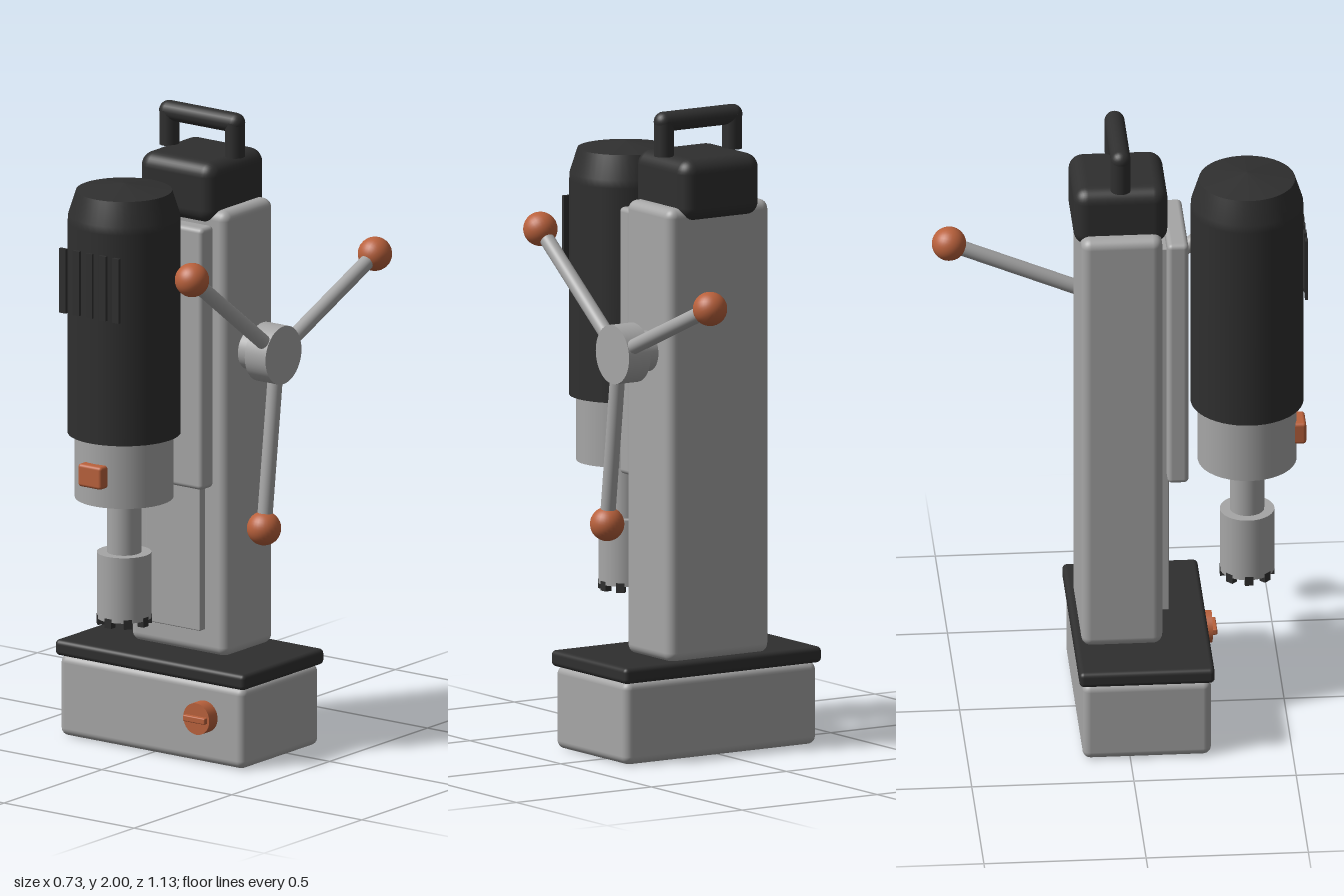
import * as THREE from 'three';
import { RoundedBoxGeometry } from 'three/addons/geometries/RoundedBoxGeometry.js';

const mat = (name, color) => {
  const m = new THREE.MeshStandardMaterial({ color });
  m.name = name;
  return m;
};

export function createModel() {
  const grey = mat('machine grey', 0xa6a6a6);
  const dark = mat('charcoal', 0x2f2f2f);
  const orange = mat('burnt orange', 0xb9613c);
  const model = new THREE.Group();
  model.name = 'magneticDrill';

  const add = (name, geometry, material, x, y, z, parent = model) => {
    const mesh = new THREE.Mesh(geometry, material);
    mesh.name = name;
    mesh.position.set(x, y, z);
    parent.add(mesh);
    return mesh;
  };
  // box given by its extents on each axis
  const box = (name, material, [x0, x1], [y0, y1], [z0, z1], r) =>
    add(name, new RoundedBoxGeometry(x1 - x0, y1 - y0, z1 - z0, 4, r), material,
      (x0 + x1) / 2, (y0 + y1) / 2, (z0 + z1) / 2);
  const cyl = (r, h) => new THREE.CylinderGeometry(r, r, h, 40);
  const lathe = (pts) => new THREE.LatheGeometry(pts.map(([x, y]) => new THREE.Vector2(x, y)), 48);

  // base, column and slide
  box('magnetBase', grey, [-0.355, 0.355], [0, 0.258], [-0.146, 0.25], 0.025);
  box('basePlate', dark, [-0.365, 0.365], [0.255, 0.305], [-0.157, 0.26], 0.015);
  box('column', grey, [-0.187, 0.187], [0.3, 1.715], [-0.137, 0.113], 0.03);
  box('slideRail', grey, [-0.105, 0.105], [0.38, 1.64], [0.1, 0.138], 0.004);
  box('slideCarriage', grey, [-0.155, 0.155], [0.845, 1.677], [0.13, 0.195], 0.015);
  box('columnCap', dark, [-0.145, 0.145], [1.67, 1.865], [-0.157, 0.133], 0.045);

  // carry handle
  const carry = new THREE.Group();
  carry.name = 'carryHandle';
  model.add(carry);
  add('handleBar', new THREE.CapsuleGeometry(0.031, 0.254, 8, 20), dark, 0, 1.969, -0.013, carry)
    .rotation.z = Math.PI / 2;
  for (const s of [-1, 1]) add('handleLeg', cyl(0.031, 0.11), dark, s * 0.126, 1.917, -0.013, carry);

  // motor, with a crease at each profile break
  const mz = 0.386;
  add('motorBody', lathe([[0.174, 1.05], [0.174, 1.72], [0.172, 1.745], [0.148, 1.82]]), dark, 0, 0, mz);
  add('motorTop', lathe([[0.148, 1.82], [0, 1.842]]), dark, 0, 0, mz);
  add('motorUnderside', lathe([[0, 1.05], [0.174, 1.05]]), dark, 0, 0, mz);
  for (let i = -2; i <= 2; i++)
    add('motorVent', new THREE.BoxGeometry(0.025, 0.205, 0.0095), dark, i * 0.051, 1.552, 0.561);
  add('gearbox', cyl(0.152, 0.215), grey, 0, 0.9525, mz);
  box('switchButton', orange, [-0.045, 0.045], [0.908, 0.98], [0.52, 0.566], 0.01);

  // spindle and hollow cutter with teeth
  add('spindle', cyl(0.053, 0.19), grey, 0, 0.755, mz);
  add('cutterWall', lathe([[0.084, 0.462], [0.084, 0.67]]), grey, 0, 0, mz);
  add('cutterTop', lathe([[0.084, 0.67], [0, 0.67]]), grey, 0, 0, mz);
  add('cutterBore', lathe([[0, 0.6], [0.066, 0.6], [0.066, 0.462]]), grey, 0, 0, mz);
  add('cutterRim', lathe([[0.066, 0.462], [0.084, 0.462]]), grey, 0, 0, mz);
  for (let i = 0; i < 8; i++) {
    const a = (i / 8) * Math.PI * 2;
    add('cutterTooth', new THREE.BoxGeometry(0.022, 0.03, 0.026), dark,
      0.073 * Math.cos(a), 0.458, mz + 0.073 * Math.sin(a)).rotation.y = -a;
  }

  // magnet switch knob
  add('knob', cyl(0.05, 0.055), orange, 0.207, 0.15, 0.265).rotation.x = Math.PI / 2;
  box('knobGrip', orange, [0.165, 0.249], [0.14, 0.16], [0.28, 0.307], 0.004);

  // three-armed feed wheel, turning about x
  const feed = new THREE.Group();
  feed.name = 'feedWheel';
  feed.position.set(0, 1.26, -0.01);
  model.add(feed);
  add('feedShaft', cyl(0.063, 0.07), grey, 0.205, 0, 0, feed).rotation.z = Math.PI / 2;
  add('feedHub', cyl(0.092, 0.08), grey, 0.275, 0, 0, feed).rotation.z = Math.PI / 2;
  for (const deg of [37, 157, 277]) {
    const arm = new THREE.Group();
    arm.name = 'feedArm';
    arm.position.x = 0.29;
    arm.rotation.x = THREE.MathUtils.degToRad(90 - deg);
    feed.add(arm);
    add('armRod', cyl(0.0235, 0.5), grey, 0, 0.28, 0, arm);
    add('armBall', new THREE.SphereGeometry(0.053, 28, 20), orange, 0, 0.544, 0, arm);
  }
  return model;
}
